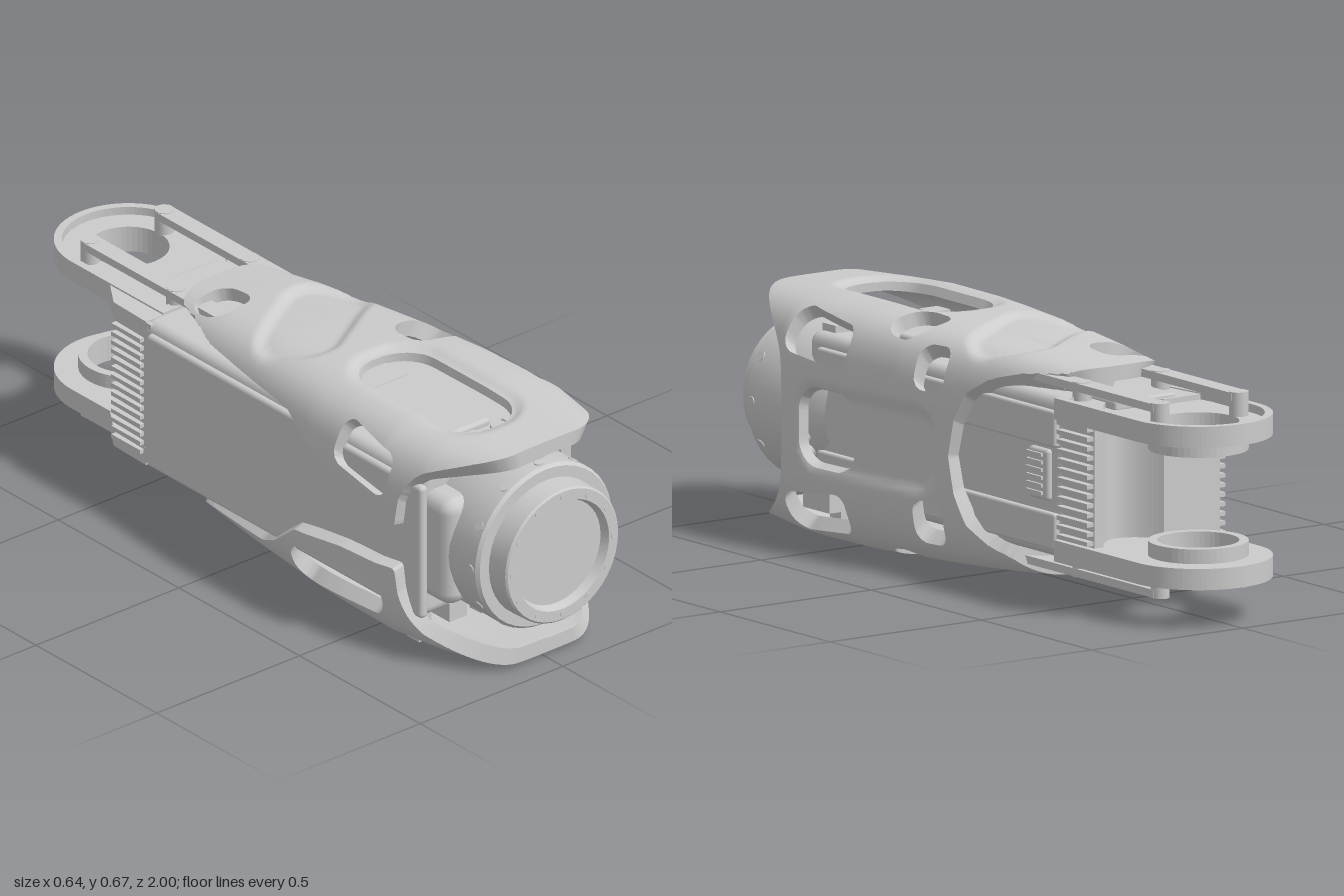
import * as THREE from 'three';
import { toCreasedNormals } from 'three/addons/utils/BufferGeometryUtils.js';
import { RoundedBoxGeometry } from 'three/addons/geometries/RoundedBoxGeometry.js';

const grey = new THREE.MeshStandardMaterial({ color: 0xcccccc });
const greyDouble = new THREE.MeshStandardMaterial({ color: 0xcccccc, side: THREE.DoubleSide });
const MID = 0.335; // height of the main axis

// Piecewise-linear lookup in a list of [key, value]
function table(points, k) {
  if (k <= points[0][0]) return points[0][1];
  for (let i = 1; i < points.length; i++) {
    const [k0, v0] = points[i - 1], [k1, v1] = points[i];
    if (k <= k1) return v0 + (v1 - v0) * (k - k0) / (k1 - k0);
  }
  return points[points.length - 1][1];
}

// Signed distance to a rounded, turned rectangle: negative inside
function slot(u, v, cu, cv, hu, hv, r, turn = 0) {
  const c = Math.cos(turn), s = Math.sin(turn), du = u - cu, dv = v - cv;
  const a = Math.abs(du * c + dv * s) - hu + r, b = Math.abs(dv * c - du * s) - hv + r;
  return Math.hypot(Math.max(a, 0), Math.max(b, 0)) + Math.min(Math.max(a, b), 0) - r;
}

// Shell outline along z: half widths, half height, trimmed edges, open left side
const WIDTH_L = [[-0.42, 0.24], [-0.2, 0.265], [0, 0.285], [0.3, 0.313], [0.6, 0.32], [0.75, 0.3], [0.93, 0.25]];
const WIDTH_R = [[-0.42, 0.17], [-0.2, 0.215], [0, 0.245], [0.2, 0.28], [0.4, 0.3], [0.67, 0.317], [0.93, 0.27]];
const HEIGHT = [[-0.42, 0.283], [-0.2, 0.305], [0, 0.32], [0.4, 0.335], [0.6, 0.335], [0.93, 0.32]];
const FRONT = [[0, 0.66], [0.15, 0.68], [0.2, 0.72], [0.25, 0.78], [0.29, 0.86], [0.31, 0.93]];
const BACK = [[0, 0], [0.1, -0.02], [0.18, -0.06], [0.23, -0.14], [0.26, -0.25], [0.28, -0.5]];
const GAP_TOP = [[-0.3, 0.25], [0.2, 0.22], [0.36, 0.13], [0.5, 0.085], [0.66, 0.068]];
const GAP_LOW = [[-0.3, 0.255], [0.08, 0.235], [0.15, 0.2], [0.25, 0.12], [0.45, 0.085], [0.66, 0.068]];

// Positive where the shell has material
function material({ x, y, z }) {
  const dy = Math.abs(y - MID);
  const right = 0.1 - x, left = x + 0.1, top = 0.5 - y, bottom = y - 0.17;
  return Math.min(
    table(FRONT, dy) - z,
    0.93 - 5.8 * Math.max(0, Math.abs(x) - 0.1) ** 2 - z,
    z - table(BACK, dy),
    z + 0.41 - 0.16 * Math.abs((x + 0.02) / 0.24) ** 3 - (y < MID ? 0.1 : 0),
    Math.max(dy - table(y < MID ? GAP_LOW : GAP_TOP, z), left),
    Math.max(slot(z, y, 0.48, MID, 0.11, 0.11, 0.07), right),
    Math.max(slot(z, y, 0.53, 0.575, 0.13, 0.06, 0.04, 0.1), right),
    Math.max(slot(z, y, 0.53, 0.1, 0.13, 0.055, 0.04, -0.1), right),
    Math.max(slot(z, y, 0.08, 0.56, 0.055, 0.06, 0.035), right),
    Math.max(slot(z, y, 0.08, 0.14, 0.055, 0.06, 0.035), right),
    Math.max(slot(z, y, 0.53, 0.545, 0.11, 0.065, 0.035, -0.15), left),
    Math.max(slot(z, y, 0.42, 0.13, 0.2, 0.055, 0.05, 0.13), left),
    Math.max(slot(x, z, -0.04, 0.52, 0.115, 0.245, 0.1), top),
    Math.max(slot(x, z, -0.12, -0.27, 0.07, 0.065, 0.05), top),
    Math.max(slot(x, z, 0.16, 0.24, 0.075, 0.07, 0.055), top),
    Math.max(slot(x, z, -0.03, -0.06, 0.14, 0.14, 0.12), bottom),
    Math.max(slot(x, z, 0.16, 0.24, 0.065, 0.06, 0.05), bottom));
}

// Shallow pressed panels on the top, right side and underside, and the top slot's sunken lip
function recess(p) {
  const d = Math.min(
    Math.max(slot(p.x, p.z, -0.02, -0.01, 0.23, 0.13, 0.11, -0.55), 0.5 - p.y),
    Math.max(slot(p.x, p.z, -0.04, 0.52, 0.15, 0.28, 0.13), 0.5 - p.y),
    Math.max(slot(p.x, p.z, -0.03, 0.5, 0.14, 0.26, 0.11), p.y - 0.17),
    Math.max(slot(p.z, p.y, 0.32, MID, 0.28, 0.13, 0.08), 0.1 - p.x));
  return 0.014 * THREE.MathUtils.smoothstep(-d, 0, 0.035);
}

function shellPoint(angle, z, inset) {
  const c = Math.cos(angle), s = Math.sin(angle), n = 4.2;
  const a = table(c < 0 ? WIDTH_L : WIDTH_R, z), b = table(HEIGHT, z);
  const r = (Math.abs(c / a) ** n + Math.abs(s / b) ** n) ** (-1 / n);
  const at = (k) => new THREE.Vector3(c * r * k, MID + s * r * k, z);
  return at(1 - (inset || recess(at(1))) / Math.min(a, b));
}

// Double-walled wrap: every grid triangle is clipped by the openings, then rimmed
function shellGeometry() {
  const NA = 160, NZ = 110, Z0 = -0.43, Z1 = 0.95, pos = [], grid = [];
  const tri = (...v) => v.forEach((p) => pos.push(p.x, p.y, p.z));
  for (let i = 0; i <= NA; i++) for (let j = 0; j <= NZ; j++) {
    const t = (i % NA) / NA * Math.PI * 2, z = Z0 + (Z1 - Z0) * j / NZ;
    const o = shellPoint(t, z, 0);
    grid.push({ o, n: shellPoint(t, z, 0.035), f: material(o) });
  }
  const clip = (corners) => {
    const kept = [];
    corners.forEach((p, k) => {
      const q = corners[(k + 1) % 3];
      if (p.f > 0) kept.push(p);
      if ((p.f > 0) !== (q.f > 0)) {
        const [m, w] = p.f > 0 ? [p, q] : [q, p], t = m.f / (m.f - w.f);
        kept.push({ o: m.o.clone().lerp(w.o, t), n: m.n.clone().lerp(w.n, t), cut: true });
      }
    });
    for (let k = 2; k < kept.length; k++) {
      tri(kept[0].o, kept[k - 1].o, kept[k].o);
      tri(kept[0].n, kept[k].n, kept[k - 1].n);
    }
    kept.forEach((a, k) => {
      const b = kept[(k + 1) % kept.length];
      if (a.cut && b.cut) { tri(b.o, a.o, a.n); tri(b.o, a.n, b.n); }
    });
  };
  for (let i = 0; i < NA; i++) for (let j = 0; j < NZ; j++) {
    const k = i * (NZ + 1) + j, a = grid[k], b = grid[k + NZ + 1], c = grid[k + NZ + 2], d = grid[k + 1];
    clip([a, b, c]);
    clip([a, c, d]);
  }
  const g = new THREE.BufferGeometry();
  g.setAttribute('position', new THREE.Float32BufferAttribute(pos, 3));
  return toCreasedNormals(g, 0.6);
}

// Plan outline, drawn with the back of the model as +y, raised from y0 to y1
function plan(shape, y0, y1) {
  const g = new THREE.ExtrudeGeometry(shape, { depth: y1 - y0, bevelEnabled: false, curveSegments: 24 });
  return g.rotateX(-Math.PI / 2).translate(0, y0, 0);
}

function stadium(w, start, Type = THREE.Shape) {
  const s = new Type();
  return s.moveTo(-w, start).lineTo(w, start).lineTo(w, 0.8).absarc(0, 0.8, w, 0, Math.PI, false).lineTo(-w, start);
}

const circle = (r) => new THREE.Path().absarc(0, 0.8, r, 0, Math.PI * 2, true);

export function createModel() {
  const model = new THREE.Group();
  const add = (name, geometry, mat = grey) => {
    const m = new THREE.Mesh(geometry, mat);
    m.name = name;
    model.add(m);
    return m;
  };
  const box = (name, x0, x1, y0, y1, z0, z1, r = 0) => {
    const size = [x1 - x0, y1 - y0, z1 - z0];
    add(name, r ? new RoundedBoxGeometry(...size, 2, r) : new THREE.BoxGeometry(...size))
      .position.set((x0 + x1) / 2, (y0 + y1) / 2, (z0 + z1) / 2);
  };
  const peg = (name, r, len, x, y, z, turnX = 0, turnZ = 0) => {
    const m = add(name, new THREE.CylinderGeometry(r, r, len, 10));
    m.rotation.set(turnX, 0, turnZ);
    m.position.set(x, y, z);
  };
  add('outerShell', shellGeometry(), greyDouble);

  // Inner body with its side covers
  box('core', -0.262, 0.185, 0.115, 0.555, -0.44, 0.72, 0.03);
  box('leftCover', -0.278, -0.25, 0.13, 0.53, -0.4, 0.74, 0.012);
  box('gearHousing', -0.25, -0.1, 0.18, 0.5, 0.6, 0.82, 0.04);
  box('topCover', -0.14, 0.07, 0.54, 0.575, 0.28, 0.62, 0.012);
  for (const y of [0.19, 0.47]) box('rightRail', 0.17, 0.2, y - 0.05, y + 0.05, -0.42, 0.66, 0.008);
  box('sidePort', 0.17, 0.2, 0.27, 0.41, -0.39, -0.3, 0.01);
  for (let i = 0; i < 6; i++) box('portFin', 0.19, 0.207, 0.285 + i * 0.021, 0.294 + i * 0.021, -0.37, -0.3);

  // Posts carrying the shell
  for (const x of [-0.22, 0, 0.11]) box('lowerPost', x - 0.022, x + 0.022, 0.03, 0.13, 0.64, 0.69);
  for (const x of [-0.2, 0.12]) box('upperPost', x - 0.03, x + 0.03, 0.54, 0.575, 0.64, 0.7);
  for (const x of [-0.13, 0.17]) box('foot', x - 0.03, x + 0.03, 0.075, 0.13, 0.6, 0.72);

  // Front motor: stepped drum with a sunken face
  const profile = [[0.2, 0.62], [0.237, 0.7], [0.24, 0.92], [0.232, 0.93], [0.2, 0.93], [0.198, 0.995],
    [0.193, 1], [0.162, 1], [0.153, 0.975], [0, 0.975]].map(([r, z]) => new THREE.Vector2(r, z));
  const drum = toCreasedNormals(new THREE.LatheGeometry(profile, 40).rotateX(Math.PI / 2), 0.5);
  add('motorDrum', drum, greyDouble).position.y = 0.338;
  for (let i = 0; i < 12; i++) {
    const t = i * Math.PI / 6, c = Math.cos(t), s = Math.sin(t);
    peg('faceScrew', 0.009, 0.008, 0.177 * c, 0.338 + 0.177 * s, 0.998, Math.PI / 2);
    peg('drumScrew', 0.014, 0.012, 0.236 * c, 0.338 + 0.236 * s, 0.9, 0, t - Math.PI / 2);
  }
  for (const y of [0.235, 0.275, 0.395, 0.435]) peg('sideScrew', 0.022, 0.05, 0.21, y, 0.69, 0, Math.PI / 2);
  for (const x of [-0.11, -0.035, 0.05]) peg('topScrew', 0.024, 0.03, x, 0.57, 0.675);

  // Tail block with a hollowed back
  const tail = new THREE.Shape();
  tail.moveTo(-0.26, 0.4).lineTo(0.18, 0.4).lineTo(0.18, 0.575).lineTo(0.15, 0.575)
    .quadraticCurveTo(0.05, 0.42, -0.05, 0.575).lineTo(-0.235, 0.575).lineTo(-0.255, 0.55);
  add('tailBlock', plan(tail, 0.125, 0.55));
  for (let i = 0; i < 14; i++) {
    const y = 0.15 + i * 0.026;
    box('rightCoolingFin', 0.17, 0.2, y, y + 0.012, -0.57, -0.43);
    box('leftCoolingFin', -0.272, -0.24, y, y + 0.012, -0.55, -0.43);
  }

  // Fork arms, mirrored above and below the axis
  const shoulder = new THREE.Shape().moveTo(-0.26, 0.42).lineTo(-0.15, 0.42).lineTo(-0.19, 0.7)
    .lineTo(-0.2, 0.64).lineTo(-0.255, 0.56);
  for (const side of [1, -1]) {
    const layer = (name, shape, d0, d1) => {
      const a = MID + side * d0, b = MID + side * d1;
      add(name, plan(shape, Math.min(a, b), Math.max(a, b)));
    };
    const arm = stadium(0.2, 0.42), rim = stadium(0.2, 0.42);
    arm.holes.push(circle(0.11));
    rim.holes.push(stadium(0.178, 0.45, THREE.Path));
    layer('forkArm', arm, 0.165, 0.2);
    layer('forkRim', rim, 0.2, 0.223);
    layer('forkShoulder', shoulder, 0.167, 0.218);
    const ring = new THREE.Shape().absarc(0, 0.8, 0.135, 0, Math.PI * 2, false);
    ring.holes.push(circle(0.11));
    layer('bearingRing', ring, 0.125, 0.165);
    // Outer stay bars with end bolts
    for (const x of [-0.13, 0.13]) {
      const y = MID + side * 0.253;
      box('stayBar', x - 0.027, x + 0.027, y - 0.011, y + 0.011, -0.81, -0.22);
      for (const z of [-0.805, -0.45]) peg('stayBolt', 0.027, 0.07, x, MID + side * 0.231, z);
    }
    // Web between the stays
    box('tailWeb', -0.1, 0.1, MID + side * 0.21 - 0.015, MID + side * 0.21 + 0.015, -0.56, -0.4, 0.008);
  }
  return model;
}
